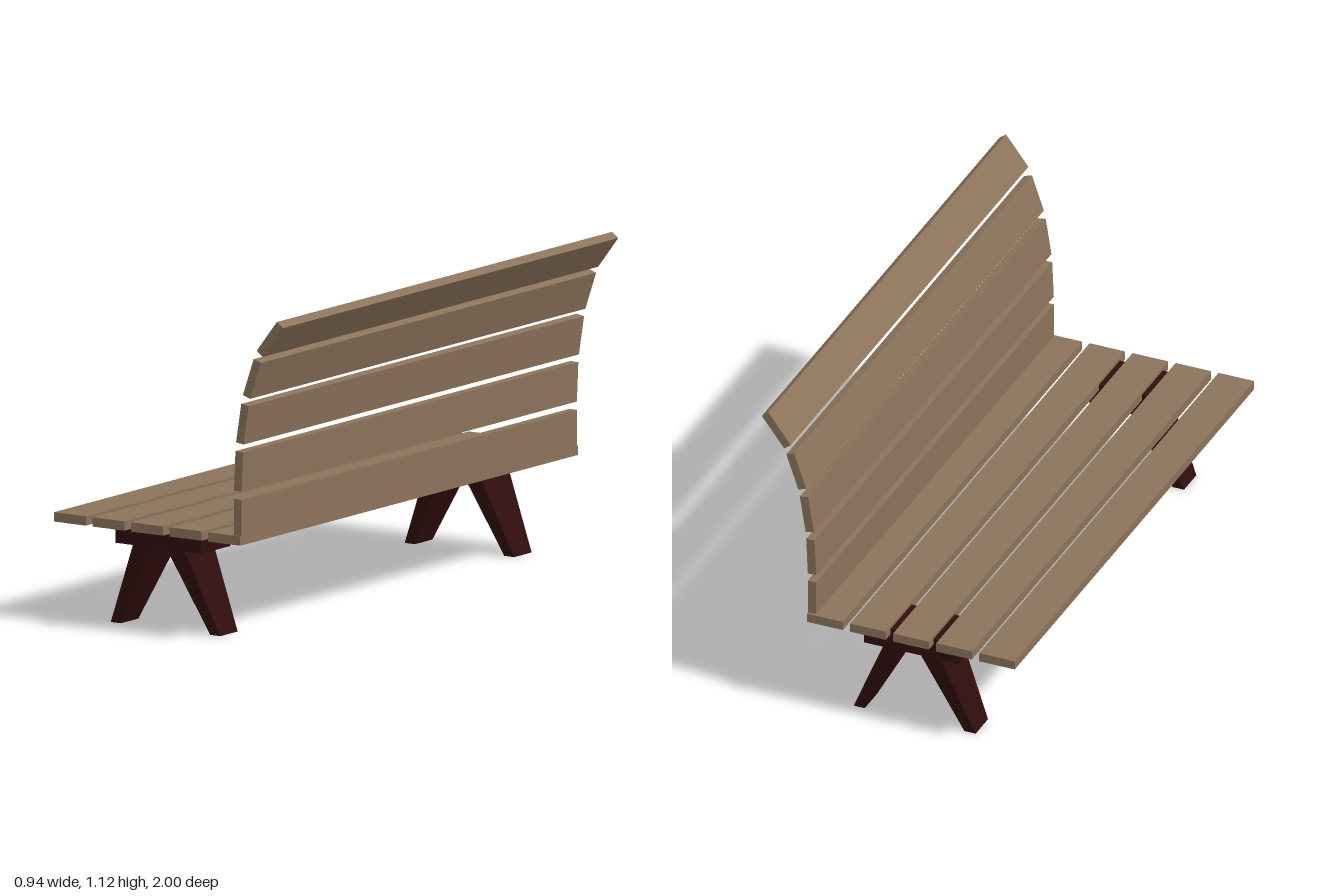
import * as THREE from 'three';

const wood = new THREE.MeshStandardMaterial({ color: 0x8c735b, flatShading: true });
wood.name = 'wood';
const darkMetal = new THREE.MeshStandardMaterial({ color: 0x300d0e, flatShading: true });
darkMetal.name = 'darkMetal';

function box(name, material, size, position, tilt = 0) {
  const mesh = new THREE.Mesh(new THREE.BoxGeometry(...size), material);
  mesh.name = name;
  mesh.position.set(...position);
  mesh.rotation.z = -THREE.MathUtils.degToRad(tilt);
  return mesh;
}

// Splayed leg: a box whose top and bottom ends get their own x range and depth
function leg(name, top, bottom) {
  const geometry = new THREE.BoxGeometry(1, 1, 1);
  const p = geometry.attributes.position;
  for (let i = 0; i < p.count; i++) {
    const end = p.getY(i) > 0 ? top : bottom;
    p.setXYZ(i, p.getX(i) < 0 ? end.x0 : end.x1, end.y, p.getZ(i) * end.depth);
  }
  geometry.computeVertexNormals();
  const mesh = new THREE.Mesh(geometry, darkMetal);
  mesh.name = name;
  return mesh;
}

export function createModel() {
  const bench = new THREE.Group();
  bench.name = 'bench';

  // Seat: five flat slats
  const seat = new THREE.Group();
  seat.name = 'seat';
  for (let i = 0; i < 5; i++) {
    seat.add(box('seatSlat', wood, [0.132, 0.032, 2], [-0.405 + i * 0.159, 0.355, 0]));
  }
  bench.add(seat);

  // Backrest: five slats leaning further back as they rise (x, y, tilt)
  const backrest = new THREE.Group();
  backrest.name = 'backrest';
  const slats = [
    [0.283, 0.428, 0],
    [0.286, 0.593, 2.5],
    [0.302, 0.757, 9],
    [0.341, 0.917, 19],
    [0.415, 1.061, 37.5],
  ];
  for (const [x, y, tilt] of slats) {
    backrest.add(box('backSlat', wood, [0.031, 0.136, 1.985], [x, y, 0.002], tilt));
  }
  bench.add(backrest);

  // Two supports: a block under the seat with two splayed, tapering legs
  for (const z of [-0.873, 0.867]) {
    const support = new THREE.Group();
    support.name = 'support';
    support.position.z = z;
    support.add(
      box('supportBlock', darkMetal, [0.353, 0.077, 0.174], [-0.073, 0.3215, 0]),
      leg('innerLeg', { x0: -0.177, x1: -0.105, y: 0.285, depth: 0.172 }, { x0: -0.293, x1: -0.251, y: 0, depth: 0.103 }),
      leg('outerLeg', { x0: -0.039, x1: 0.034, y: 0.285, depth: 0.172 }, { x0: 0.117, x1: 0.158, y: 0, depth: 0.103 }),
    );
    bench.add(support);
  }
  return bench;
}
